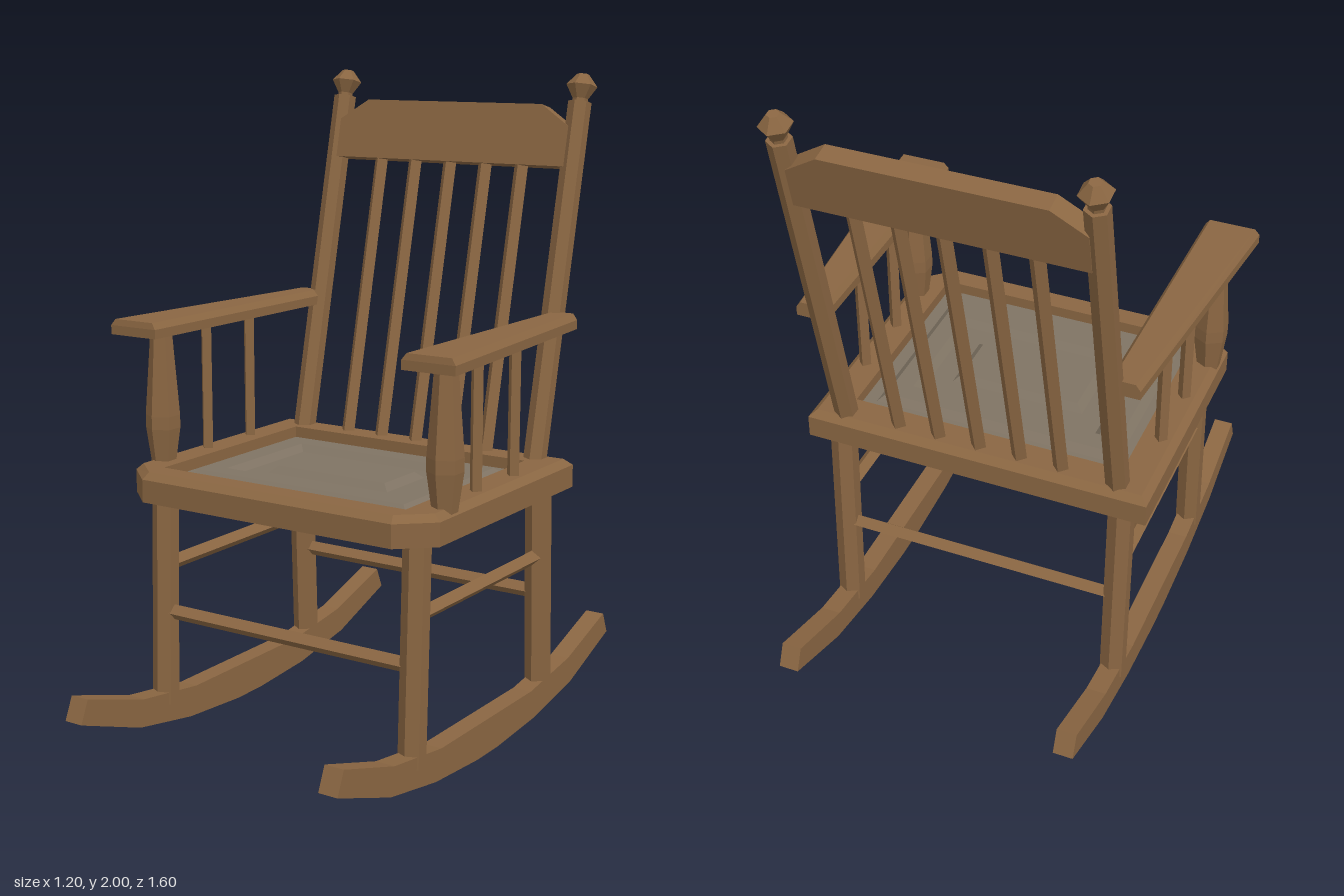
import * as THREE from 'three';

const wood = new THREE.MeshStandardMaterial({ color: 0x8a6642, flatShading: true });
wood.name = 'brown wood';
const panelGrey = new THREE.MeshStandardMaterial({ color: 0x7f7363, flatShading: true });
panelGrey.name = 'grey seat panel';

const V = (x, y, z) => new THREE.Vector3(x, y, z);

function add(parent, name, geometry, material = wood) {
  const mesh = new THREE.Mesh(geometry, material);
  mesh.name = name;
  parent.add(mesh);
  return mesh;
}

// Straight faceted bar between two points
function rod(parent, name, a, b, radius, sides) {
  const dir = b.clone().sub(a);
  const mesh = add(parent, name, new THREE.CylinderGeometry(radius, radius, dir.length(), sides));
  mesh.position.copy(a).add(b).multiplyScalar(0.5);
  mesh.quaternion.setFromUnitVectors(V(0, 1, 0), dir.normalize());
  return mesh;
}

// Faceted turning: profile of [radius, height]
function turned(parent, name, profile, x, z) {
  const mesh = add(parent, name, new THREE.LatheGeometry(profile.map(([r, y]) => new THREE.Vector2(r, y)), 6));
  mesh.position.set(x, 0, z);
  return mesh;
}

// Skin over horizontal loops { y, pts: [[x, z], ...] }, anticlockwise from above
function loft(loops, capStart, capEnd) {
  const n = loops[0].pts.length, pos = [], idx = [];
  loops.forEach(({ y, pts }) => pts.forEach(([x, z]) => pos.push(x, y, z)));
  for (let k = 0; k < loops.length - 1; k++) {
    for (let i = 0; i < n; i++) {
      const a = k * n + i, b = k * n + (i + 1) % n;
      idx.push(a, b, b + n, a, b + n, a + n);
    }
  }
  const last = (loops.length - 1) * n;
  for (let i = 1; i < n - 1; i++) {
    if (capStart) idx.push(0, i + 1, i);
    if (capEnd) idx.push(last, last + i, last + i + 1);
  }
  const g = new THREE.BufferGeometry();
  g.setAttribute('position', new THREE.Float32BufferAttribute(pos, 3));
  g.setIndex(idx);
  g.computeVertexNormals();
  return g;
}

function extrude(points, depth) {
  const shape = new THREE.Shape(points.map(([x, y]) => new THREE.Vector2(x, y)));
  return new THREE.ExtrudeGeometry(shape, { depth, bevelEnabled: false }).translate(0, 0, -depth / 2);
}

function buildSeat(root) {
  const outline = (d) => [
    [0.44 - d * 0.4, 0.48 - d], [0.54 - d, 0.39 - d * 0.4], [0.54 - d, -0.4 + d],
    [-0.54 + d, -0.4 + d], [-0.54 + d, 0.39 - d * 0.4], [-0.44 + d * 0.4, 0.48 - d],
  ];
  const opening = [[0.43, 0.39], [0.43, 0.39], [0.43, -0.29], [-0.43, -0.29], [-0.43, 0.39], [-0.43, 0.39]];
  add(root, 'seatFrame', loft([
    { y: 0.75, pts: outline(0) }, { y: 0.82, pts: outline(0) }, { y: 0.84, pts: outline(0.022) },
    { y: 0.84, pts: opening }, { y: 0.79, pts: opening },
  ], true, false));

  // Moulded panel: each step is [half width, back z, front z, height]
  const steps = [
    [0.43, -0.29, 0.39, 0.805], [0.39, -0.235, 0.325, 0.805], [0.367, -0.212, 0.302, 0.825],
    [0.307, -0.15, 0.242, 0.825], [0.285, -0.128, 0.22, 0.805],
    [0.215, -0.057, 0.152, 0.805], [0.192, -0.036, 0.13, 0.825],
  ];
  add(root, 'seatPanel', loft(steps.map(([w, b, f, y]) => (
    { y, pts: [[w, f], [w, b], [-w, b], [-w, f]] })), false, true), panelGrey);
}

function buildBack(root) {
  // Leaning frame, built upright and tilted about the seat
  const back = new THREE.Group();
  back.name = 'backrest';
  back.position.set(0, 0.84, -0.35);
  back.rotation.x = -0.222;
  root.add(back);
  for (const s of [-1, 1]) {
    rod(back, 'backPost', V(s * 0.435, -0.03, 0), V(s * 0.435, 1.1, 0), 0.036, 6);
    turned(back, 'finial', [[0, 1.09], [0.024, 1.09], [0.024, 1.11], [0.048, 1.15], [0.018, 1.185], [0, 1.185]], s * 0.435, 0);
  }
  for (let i = -2; i <= 2; i++) {
    rod(back, 'backSpindle', V(i * 0.13, -0.02, 0), V(i * 0.13, 0.92, 0), 0.024, 4);
  }
  add(back, 'topRail', extrude([
    [-0.42, 0.895], [0.42, 0.895], [0.42, 1.02], [0.32, 1.085], [-0.32, 1.085], [-0.42, 1.02],
  ], 0.06));
}

function buildSide(root, s) {
  // Rocker
  const under = [[-0.8, 0.155], [-0.54, 0.06], [-0.3, 0.017], [-0.06, 0], [0.06, 0], [0.3, 0.017], [0.54, 0.06], [0.8, 0.155]];
  const over = [[0.77, 0.225], [0.52, 0.145], [0.27, 0.11], [-0.27, 0.11], [-0.52, 0.145], [-0.77, 0.225]];
  const rocker = add(root, 'rocker', extrude([...under, ...over], 0.062));
  rocker.rotation.y = -Math.PI / 2;
  rocker.position.x = s * 0.45;

  // Legs and side stretcher
  const x = s * 0.45;
  rod(root, 'frontLeg', V(x, 0.09, 0.382), V(x, 0.76, 0.361), 0.041, 6);
  rod(root, 'backLeg', V(x, 0.09, -0.37), V(x, 0.76, -0.347), 0.041, 6);
  rod(root, 'sideStretcher', V(x, 0.527, -0.35), V(x, 0.527, 0.365), 0.024, 4);

  // Armrest with a bevelled upper edge
  const arm = (d) => {
    const pts = [[0.43 + d, 0.418 - d * 0.3], [0.6 - d, 0.418 - d * 0.3], [0.52 - d, -0.443], [0.425 + d, -0.443]];
    return s > 0 ? pts : pts.map(([px, pz]) => [-px, pz]).reverse();
  };
  add(root, 'armrest', loft([
    { y: 1.235, pts: arm(0) }, { y: 1.263, pts: arm(0) }, { y: 1.282, pts: arm(0.014) },
  ], true, true));

  // Arm supports
  turned(root, 'armPost', [[0.036, 0.82], [0.053, 0.94], [0.053, 0.98], [0.033, 1.24]], s * 0.503, 0.303);
  for (const z of [0.105, -0.115]) {
    rod(root, 'armSpindle', V(s * 0.487, 0.82, z), V(s * 0.487, 1.25, z), 0.02, 4);
  }
}

export function createModel() {
  const root = new THREE.Group();
  root.name = 'rockingChair';
  buildSeat(root);
  buildBack(root);
  for (const s of [-1, 1]) buildSide(root, s);
  rod(root, 'frontStretcher', V(-0.44, 0.383, 0.373), V(0.44, 0.383, 0.373), 0.024, 4);
  rod(root, 'backStretcher', V(-0.44, 0.407, -0.36), V(0.44, 0.407, -0.36), 0.024, 4);
  return root;
}
